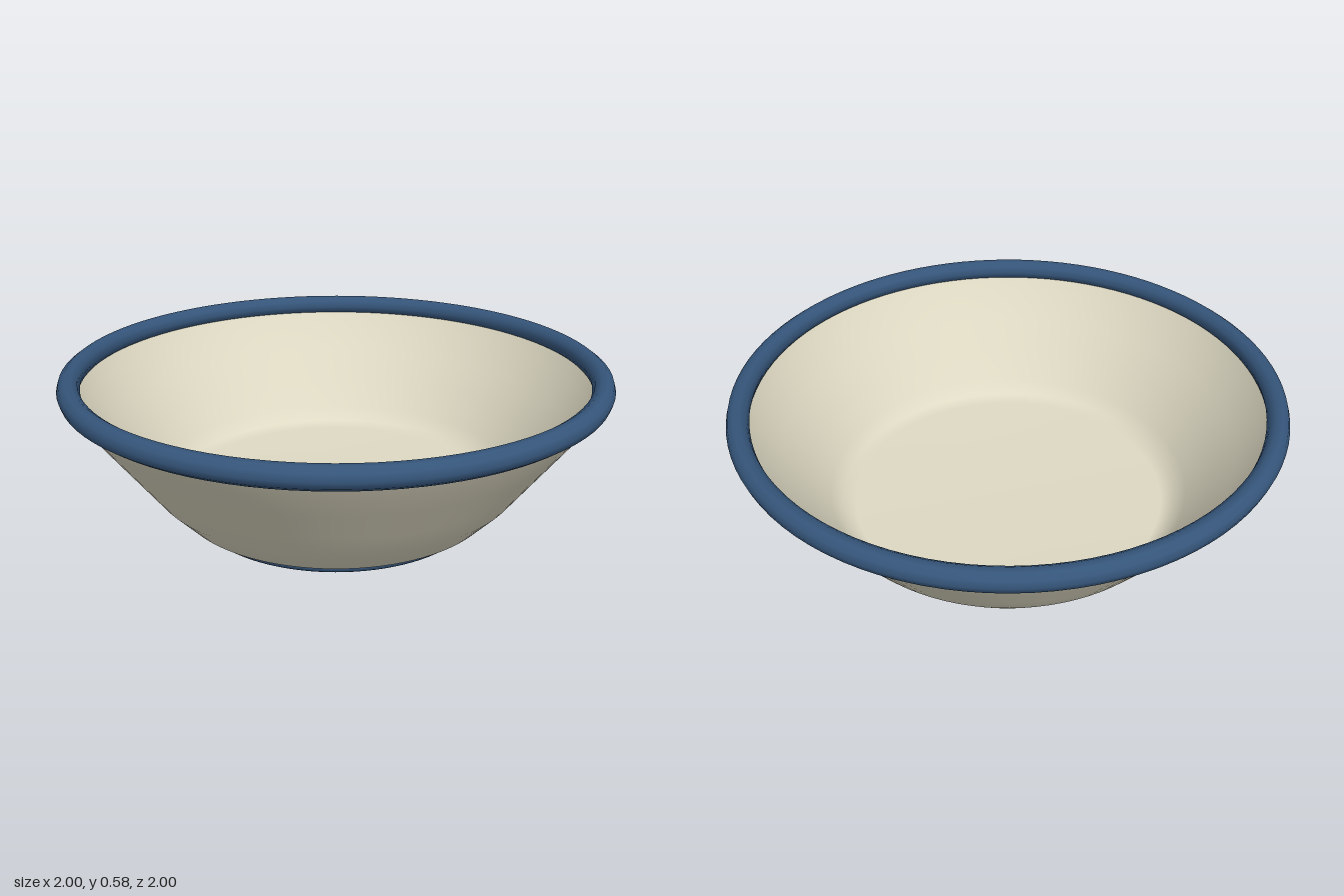
import * as THREE from 'three';

const SEGMENTS = 96;

// Revolve a profile of [radius, height] pairs
function lathe(name, profile, material) {
  const points = profile.map(([r, y]) => new THREE.Vector2(r, y));
  const mesh = new THREE.Mesh(new THREE.LatheGeometry(points, SEGMENTS), material);
  mesh.name = name;
  return mesh;
}

export function createModel() {
  const cream = new THREE.MeshStandardMaterial({ color: 0xded9c3 });
  cream.name = 'cream enamel';
  const blue = new THREE.MeshStandardMaterial({ color: 0x35557a });
  blue.name = 'blue enamel';

  const basin = new THREE.Group();
  basin.name = 'basin';

  // Flaring outer wall, from the foot up into the rim
  basin.add(lathe('outerWall', [
    [0.52, 0.012], [0.555, 0.027], [0.6, 0.048], [0.69, 0.143],
    [0.77, 0.25], [0.86, 0.37], [0.925, 0.457], [0.965, 0.52],
  ], cream));

  // Inside surface, from the rim down to the broad floor
  basin.add(lathe('innerWall', [
    [0.95, 0.545], [0.905, 0.465], [0.835, 0.366], [0.755, 0.256],
    [0.678, 0.15], [0.635, 0.102], [0.59, 0.084], [0, 0.08],
  ], cream));

  // Flat underside, set just inside the foot ring
  const underside = new THREE.Mesh(new THREE.CircleGeometry(0.52, SEGMENTS), cream);
  underside.name = 'underside';
  underside.rotation.x = Math.PI / 2;
  underside.position.y = 0.003;
  basin.add(underside);

  // Rolled rim
  const rim = new THREE.Mesh(new THREE.TorusGeometry(0.96, 0.04, 10, SEGMENTS), blue);
  rim.name = 'rim';
  rim.rotation.x = Math.PI / 2;
  rim.position.y = 0.543;
  basin.add(rim);

  // Low foot ring
  basin.add(lathe('footRing', [
    [0.49, 0.004], [0.495, 0], [0.537, 0], [0.544, 0.008], [0.551, 0.025], [0.52, 0.025],
  ], blue));

  return basin;
}
